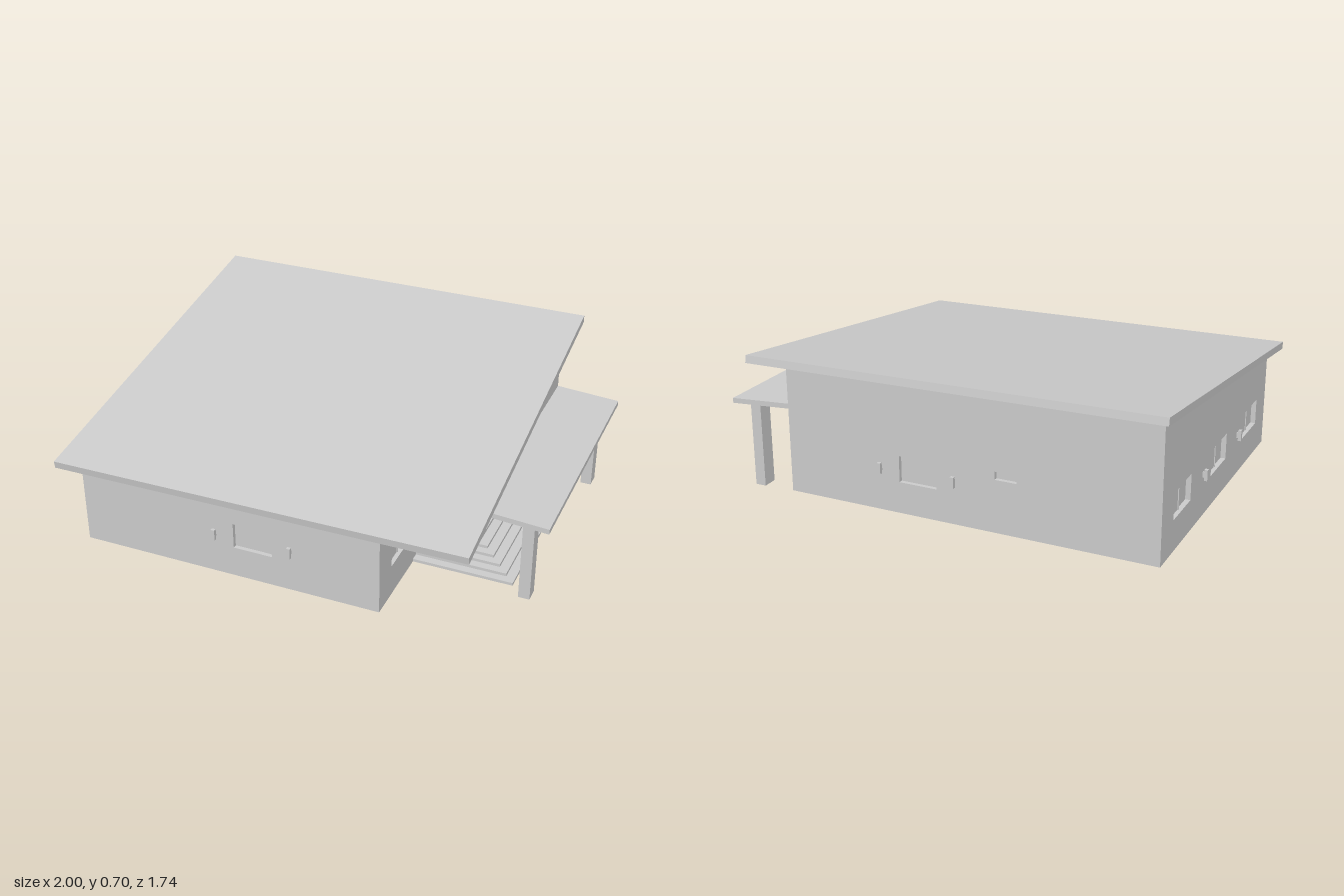
import * as THREE from 'three';

const mat = new THREE.MeshStandardMaterial({ color: 0xcccccc, flatShading: true, side: THREE.DoubleSide });
const BASE = 0.025;
const WALL = 0.03;

// Height of the sloping main roof's top surface
const roofTop = (x, z) => 0.475 - 0.0116 * (x + 0.965) - 0.1358 * (z - 0.86);
// Height of the porch roof's top surface
const porchTop = (x) => 0.44 - 0.068 * (x - 0.41);

function add(parent, name, geometry, x = 0, y = 0, z = 0) {
  const mesh = new THREE.Mesh(geometry, mat);
  mesh.name = name;
  mesh.position.set(x, y, z);
  parent.add(mesh);
  return mesh;
}

// Box given by its limits
function block(parent, name, x0, x1, y0, y1, z0, z1) {
  return add(parent, name, new THREE.BoxGeometry(x1 - x0, y1 - y0, z1 - z0),
    (x0 + x1) / 2, (y0 + y1) / 2, (z0 + z1) / 2);
}

// Sloping slab: a box whose corners follow a plan outline and a height rule.
// Plan order: back left, back right, front left, front right
function slab(parent, name, plan, top, thick, shift = 0) {
  const g = new THREE.BoxGeometry(2, 2, 2);
  const p = g.attributes.position;
  for (let i = 0; i < p.count; i++) {
    const [x, z] = plan[(p.getX(i) > 0 ? 1 : 0) + (p.getZ(i) > 0 ? 2 : 0)];
    const low = p.getY(i) < 0;
    p.setXYZ(i, x, top(x, z) - (low ? thick : 0), z - (low ? shift : 0));
  }
  g.computeVertexNormals();
  return add(parent, name, g);
}

// Wall lamp: bracket against the wall with an upright body in front
function lamp(parent, u) {
  const g = new THREE.Group();
  g.name = 'wallLamp';
  g.position.set(u, 0.215, 0);
  block(g, 'lampBracket', -0.005, 0.005, -0.012, 0.012, 0, 0.01);
  block(g, 'lampBody', -0.008, 0.008, -0.024, 0.024, 0.008, 0.022);
  parent.add(g);
}

// Wall from a to b (outside on the right-hand side facing out), with window
// openings [start, end, panes, bottom, top] and lamps at distances along it
function wall(parent, name, a, b, windows = [], lamps = []) {
  const len = Math.hypot(b[0] - a[0], b[1] - a[1]);
  const g = new THREE.Group();
  g.name = name;
  g.position.set(a[0], 0, a[1]);
  g.rotation.y = Math.atan2(a[1] - b[1], b[0] - a[0]);
  const shape = new THREE.Shape([
    new THREE.Vector2(0, BASE), new THREE.Vector2(len, BASE),
    new THREE.Vector2(len, roofTop(...b) - 0.015), new THREE.Vector2(0, roofTop(...a) - 0.015),
  ]);
  for (const [s, e, panes, y0 = 0.163, y1 = 0.278] of windows) {
    shape.holes.push(new THREE.Path([
      new THREE.Vector2(s, y0), new THREE.Vector2(s, y1),
      new THREE.Vector2(e, y1), new THREE.Vector2(e, y0),
    ]));
    const w = (e - s) / panes;
    for (let i = 0; i < panes; i++) {
      const z = -0.018 - 0.004 * i;
      block(g, 'windowPane', s + w * i, s + w * (i + 1), y0, y1, z - 0.004, z);
    }
    if (panes > 1) block(g, 'windowMullion', s + w - 0.003, s + w + 0.003, y0, y1, -0.022, -0.014);
  }
  const geo = new THREE.ExtrudeGeometry(shape, { depth: WALL, bevelEnabled: false });
  add(g, name + 'Panel', geo, 0, 0, -WALL);
  lamps.forEach((u) => lamp(g, u));
  parent.add(g);
}

export function createModel() {
  const house = new THREE.Group();
  house.name = 'house';

  // L-shaped plan, counter-clockwise from the front right corner
  const plan = [[-0.93, 0.73], [0.41, 0.73], [0.41, -0.18], [0.72, -0.18], [0.72, -0.66], [-0.93, -0.66]];

  // Floor
  const floorShape = new THREE.Shape(plan.map(([x, z]) => new THREE.Vector2(x, -z)));
  const floor = new THREE.ExtrudeGeometry(floorShape, { depth: 0.01, bevelEnabled: false });
  add(house, 'floor', floor.rotateX(-Math.PI / 2), 0, BASE, 0);

  // Walls with windows and lamps
  wall(house, 'frontWall', plan[0], plan[1], [[0.7, 0.872, 1]], [0.617, 0.955]);
  wall(house, 'porchSideWall', plan[1], plan[2], [[0.13, 0.335, 2]], [0.42]);
  wall(house, 'entranceWall', plan[2], plan[3]);
  wall(house, 'leftWall', plan[3], plan[4], [[0.138, 0.345, 2]], [0.06]);
  wall(house, 'backWall', plan[4], plan[5],
    [[0.525, 0.695, 1], [0.955, 1.05, 1, 0.255, 0.29]], [0.44, 0.775]);
  wall(house, 'rightWall', plan[5], plan[0],
    [[0.135, 0.34, 2], [0.6, 0.805, 2], [1.05, 1.255, 2]], [0.49, 0.96]);

  // Main roof, turned slightly against the walls
  slab(house, 'mainRoof', [[-1, -0.83], [0.765, -0.865], [-0.965, 0.865], [0.8, 0.825]], roofTop, 0.032, 0.005);

  // Porch roof
  slab(house, 'porchRoof', [[0.4, -0.66], [1, -0.66], [0.4, 0.447], [1, 0.447]], porchTop, 0.022);

  // Porch posts
  block(house, 'frontPost', 0.887, 0.935, BASE, 0.39, 0.355, 0.418);
  block(house, 'backPost', 0.887, 0.935, 0, 0.39, -0.625, -0.558);

  // Entrance steps, shrinking towards the top
  const n = 6;
  const rise = 0.077 / n;
  for (let i = 0; i < n; i++) {
    block(house, 'step', 0.41, 0.845 - 0.039 * i, BASE + rise * i, BASE + rise * (i + 1),
      -0.18, 0.355 - 0.035 * i);
  }
  return house;
}
